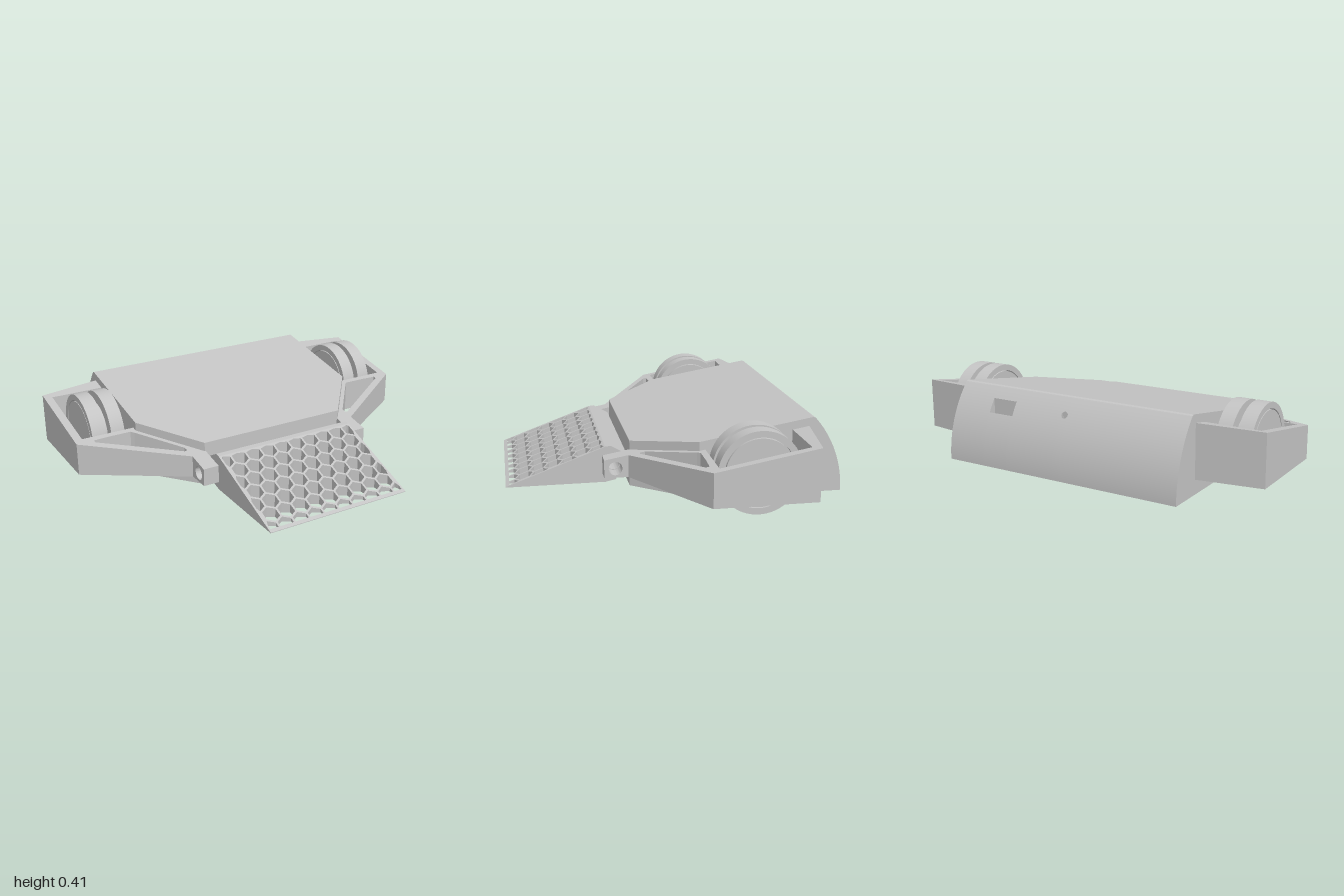
import * as THREE from 'three';
import { mergeGeometries, toCreasedNormals } from 'three/addons/utils/BufferGeometryUtils.js';

const grey = new THREE.MeshStandardMaterial({ color: 0xc4c4c4 });
grey.name = 'plain grey';

// Outlines and holes are all wound the same way, so that every wall faces outward
function shapeOf(pts) {
  const v = pts.map(([a, b]) => new THREE.Vector2(a, b));
  return new THREE.Shape(THREE.ShapeUtils.isClockWise(v) ? v.reverse() : v);
}

// Side profile in [z, y], extruded from x0 to x1
function sideExtrude(pts, x0, x1, pinHole) {
  const shape = shapeOf(pts.map(([z, y]) => [-z, y]));
  if (pinHole) {
    const hole = new THREE.Path();
    hole.absarc(-pinHole.z, pinHole.y, pinHole.r, 0, Math.PI * 2, true);
    shape.holes.push(hole);
  }
  const geo = new THREE.ExtrudeGeometry(shape, { depth: x1 - x0, bevelEnabled: false, curveSegments: 24 });
  geo.translate(0, 0, x0);
  geo.rotateY(Math.PI / 2);
  return toCreasedNormals(geo, 0.3);
}

// Plan outline in [x, z] with holes, raised from a flat bottom to a sloping top
function prism(outline, holes, bottom, topAt) {
  const flip = ([x, z]) => [x, -z];
  const shape = shapeOf(outline.map(flip));
  for (const h of holes) shape.holes.push(shapeOf(h.map(flip)));
  const geo = new THREE.ExtrudeGeometry(shape, { depth: 1, bevelEnabled: false });
  geo.rotateX(-Math.PI / 2);
  const p = geo.attributes.position;
  for (let i = 0; i < p.count; i++) p.setY(i, p.getY(i) > 0.5 ? topAt(p.getZ(i)) : bottom);
  geo.computeVertexNormals();
  return geo;
}

export function createModel() {
  const model = new THREE.Group();
  const add = (name, geo, parent = model) => {
    const mesh = new THREE.Mesh(geo, grey);
    mesh.name = name;
    parent.add(mesh);
  };

  // Main hull: tapered plan with a sloping deck
  const deck = (z) => 0.289 - 0.172 * z;
  add('hull', prism(
    [[-0.67, -0.5], [-0.67, -0.1], [-0.42, 0.208], [0.42, 0.208], [0.67, -0.1], [0.67, -0.5]],
    [], 0.013, deck));

  // Curved tail, sliced across x so the slot and the round hole can be sunk into it
  const R = 0.58, CZ = -0.255, CY = 0.013, END = 0.73, STEPS = 36;
  const onArc = (a) => [CZ - R * Math.cos(a), CY + R * Math.sin(a)];
  const tailSlice = (x0, x1, a0 = 2, a1 = 2, floor = 0) => {
    const pts = [[-0.5, CY]];
    let sunk = false;
    for (let i = 0; i <= STEPS; i++) {
      const a = (END * i) / STEPS;
      if (a > a0 && !sunk) {
        const low = onArc(a0), high = onArc(a1);
        pts.push(low, [low[0], floor], [high[0], floor], high);
        sunk = true;
      }
      if (a < a0 || a > a1) pts.push(onArc(a));
    }
    pts.push([-0.676, 0.405], [-0.66, deck(-0.66)], [-0.5, deck(-0.5)]);
    return sideExtrude(pts, x0, x1);
  };
  const holeR = 0.018, holeAngle = 0.564, n = 10;
  const slices = [tailSlice(-0.67, -holeR), tailSlice(holeR, 0.305),
    tailSlice(0.305, 0.45, 0.478, 0.611, 0.24), tailSlice(0.45, 0.67)];
  for (let i = 0; i < n; i++) {
    const x0 = -holeR + (2 * holeR * i) / n, x1 = x0 + (2 * holeR) / n;
    const half = Math.sqrt(holeR ** 2 - ((x0 + x1) / 2) ** 2) / R;
    slices.push(tailSlice(x0, x1, holeAngle - half, holeAngle + half, 0.27));
  }
  add('curvedTail', mergeGeometries(slices));

  // Side frames with wheel wells, trusses, hinge tabs and wheels
  const pin = { z: 0.29, y: 0.135, r: 0.035 };
  const frameTop = (z) => 0.243 - 0.179 * z;
  const wheelProfile = [
    [0, 0.66], [0.05, 0.66], [0.05, 0.682], [0.035, 0.695], [0.03, 0.715],
    [0.17, 0.715], [0.17, 0.745], [0.175, 0.745], [0.175, 0.715], [0.207, 0.715],
    [0.207, 0.79], [0.15, 0.79], [0.15, 0.82], [0.207, 0.82], [0.207, 0.895],
    [0.175, 0.895], [0.175, 0.865], [0.17, 0.865], [0.17, 0.895], [0, 0.895],
  ].map(([r, y]) => new THREE.Vector2(r, y));
  for (const s of [1, -1]) {
    const side = new THREE.Group();
    side.name = s > 0 ? 'leftSide' : 'rightSide';
    model.add(side);
    const mir = (pts) => pts.map(([x, z]) => [s * x, z]);
    add('sideFrame', prism(
      mir([[0.63, -0.655], [0.67, -0.655], [1, -0.607], [1, -0.095], [0.5, 0.225], [0.415, 0.225],
        [0.415, 0.19], [0.63, -0.1]]),
      [
        mir([[0.66, -0.57], [0.957, -0.57], [0.957, -0.13], [0.66, -0.13]]),
        mir([[0.905, -0.096], [0.82, -0.1], [0.7, -0.1], [0.685, -0.085], [0.503, 0.14], [0.5, 0.165],
          [0.515, 0.17], [0.905, -0.078]]),
      ], 0.087, frameTop), side);
    const tab = [[0.22, 0.087], [0.347, 0.087], [0.347, frameTop(0.347)], [0.22, frameTop(0.22)]];
    add('hingeTab', sideExtrude(tab, s > 0 ? 0.415 : -0.5, s > 0 ? 0.5 : -0.415, pin), side);

    const wheel = new THREE.LatheGeometry(wheelProfile, 64);
    wheel.rotateZ((-s * Math.PI) / 2);
    wheel.translate(0, 0.209, -0.345);
    add('twinWheel', toCreasedNormals(wheel, 0.4), side);
  }

  // Front ramp: hexagonal cells cut straight down through a wedge
  const pitch = 0.086, cellR = 0.0435;
  const clamp = THREE.MathUtils.clamp;
  const cells = [];
  for (let row = 0; row < 7; row++) {
    const z = 0.368 + row * 0.0743;
    const odd = row % 2;
    for (let k = odd ? -4 : -5; k <= 4; k++) {
      const x = (k + (odd ? 0 : 0.5)) * pitch;
      const hex = [];
      for (let i = 0; i < 6; i++) {
        const a = (i + 0.5) * (Math.PI / 3);
        hex.push([clamp(x + cellR * Math.cos(a), -0.395, 0.395),
          clamp(z + cellR * Math.sin(a), 0.337, 0.818)]);
      }
      cells.push(hex);
    }
  }
  const rampTop = (z) => 0.037 + 0.367 * (0.837 - z);
  add('honeycombRamp', prism(
    [[-0.405, 0.33], [0.405, 0.33], [0.405, 0.837], [-0.405, 0.837]], cells, 0.034, rampTop));

  // Solid hinge block behind the ramp, bored for the pin
  add('rampHinge', sideExtrude(
    [[0.33, 0.034], [0.33, rampTop(0.33)], [0.302, 0.226], [0.262, 0.203], [0.22, 0.179],
      [0.22, 0.11], [0.248, 0.09], [0.278, 0.045]], -0.405, 0.405, pin));

  return model;
}
